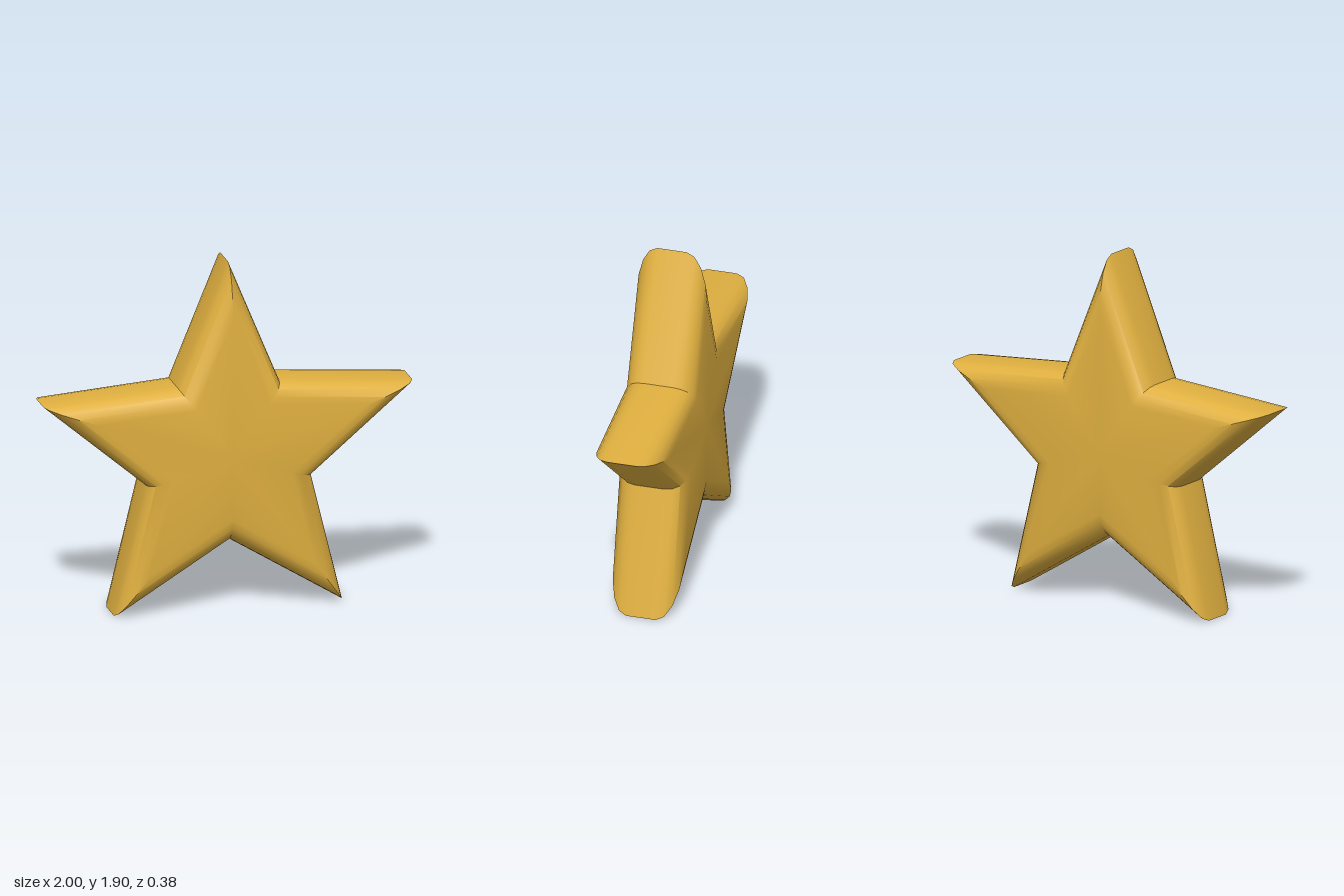
import * as THREE from 'three';
import { toCreasedNormals } from 'three/addons/utils/BufferGeometryUtils.js';

const OUTER = 1.0515, INNER = 0.47, CENTRE_Y = 0.851;
const HALF_DEPTH = 0.19, BEVEL = 0.11, SHRINK = 0.275, STEPS = 4;

// Star outline at one depth, counter-clockwise from the top tip
function starRing(scale, z) {
  return Array.from({ length: 10 }, (_, i) => {
    const a = Math.PI / 2 + i * Math.PI / 5;
    const r = (i % 2 ? INNER : OUTER) * scale;
    return new THREE.Vector3(r * Math.cos(a), r * Math.sin(a), z);
  });
}

function starGeometry() {
  // Rounded bevel at the front, mirrored to the back
  const front = [];
  for (let k = 0; k <= STEPS; k++) {
    const t = (k / STEPS) * Math.PI / 2;
    front.push([1 - SHRINK * (1 - Math.sin(t)), HALF_DEPTH - BEVEL * (1 - Math.cos(t))]);
  }
  const profile = [...front, ...front.map(([s, z]) => [s, -z]).reverse()];
  const rings = profile.map(([s, z]) => starRing(s, z));
  const points = [];

  // Rim and bevels
  for (let k = 0; k < rings.length - 1; k++) {
    for (let i = 0; i < 10; i++) {
      const j = (i + 1) % 10;
      const a = rings[k][i], b = rings[k][j], c = rings[k + 1][j], d = rings[k + 1][i];
      points.push(a, d, c, a, c, b);
    }
  }

  // Flat front and back faces
  const first = rings[0], last = rings[rings.length - 1];
  const frontMid = new THREE.Vector3(0, 0, HALF_DEPTH);
  const backMid = new THREE.Vector3(0, 0, -HALF_DEPTH);
  for (let i = 0; i < 10; i++) {
    const j = (i + 1) % 10;
    points.push(frontMid, first[i], first[j], backMid, last[j], last[i]);
  }
  return toCreasedNormals(new THREE.BufferGeometry().setFromPoints(points), 0.6);
}

export function createModel() {
  const gold = new THREE.MeshStandardMaterial({ color: 0xe0b040 });
  gold.name = 'gold';
  const star = new THREE.Mesh(starGeometry(), gold);
  star.name = 'star';
  star.position.y = CENTRE_Y;

  const group = new THREE.Group();
  group.name = 'starModel';
  group.add(star);
  return group;
}
